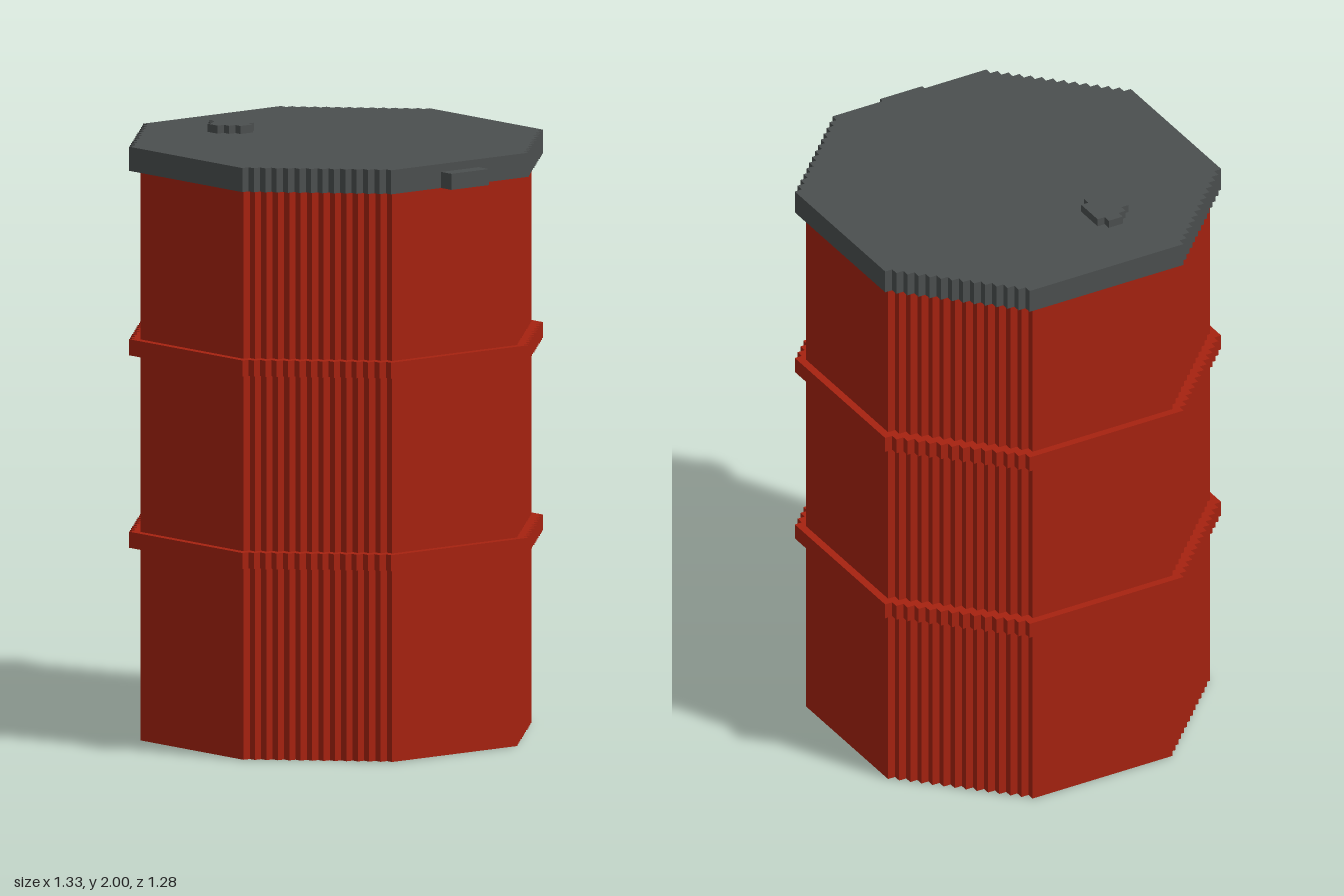
import * as THREE from 'three';

const U = 2 / 75;      // block size: the barrel is 75 blocks tall
const CX = -1;         // barrel axis in x, in blocks (the clamp sticks out on +x)
const STEPS = 13;      // stair steps on each diagonal side

const red = new THREE.MeshStandardMaterial({ color: 0xa62210 });
red.name = 'barrel red';
const grey = new THREE.MeshStandardMaterial({ color: 0x4b4f4f });
grey.name = 'lid grey';

// Stepped octagon outline, counter-clockwise; r is its half width in blocks
function octagon(r) {
  const corner = [];
  for (let i = 0; i < STEPS; i++) {
    corner.push([r - i, r - STEPS + i], [r - i - 1, r - STEPS + i]);
  }
  corner.push([r - STEPS, r]);
  // remaining three corners by quarter turns
  const points = [];
  for (let q = 0; q < 4; q++) {
    for (const [x, y] of corner) {
      const [a, b] = [[x, y], [-y, x], [-x, -y], [y, -x]][q];
      points.push(new THREE.Vector2(a + CX, b));
    }
  }
  return points;
}

// Outline extruded upward from block level y0 to y1
function slab(name, outline, y0, y1, material, hole) {
  const shape = new THREE.Shape(outline);
  if (hole) shape.holes.push(new THREE.Path(hole));
  const geometry = new THREE.ExtrudeGeometry(shape, { depth: y1 - y0, bevelEnabled: false });
  geometry.rotateX(-Math.PI / 2).translate(0, y0, 0).scale(U, U, U);
  const mesh = new THREE.Mesh(geometry, material);
  mesh.name = name;
  return mesh;
}

export function createModel() {
  const barrel = new THREE.Group();
  barrel.name = 'barrel';

  // Body with two raised hoops
  barrel.add(slab('body', octagon(23), 0, 71, red));
  for (const [name, y] of [['lowerHoop', 24], ['upperHoop', 48]]) {
    barrel.add(slab(name, octagon(24), y, y + 2, red, octagon(23)));
  }

  // Lid
  barrel.add(slab('lid', octagon(24), 71, 74, grey));

  // Bung on the lid, a small stepped plug
  const bung = [
    [-15, -9], [-13, -9], [-13, -8], [-12, -8], [-12, -7], [-11, -7], [-11, -5],
    [-12, -5], [-12, -4], [-16, -4], [-16, -5], [-17, -5], [-17, -7], [-16, -7],
    [-16, -8], [-15, -8],
  ].map(([x, y]) => new THREE.Vector2(x, y));
  barrel.add(slab('bung', bung, 74, 75, grey));

  // Clamp on the rim
  const clamp = new THREE.Mesh(new THREE.BoxGeometry(2 * U, 2 * U, 6 * U), grey);
  clamp.name = 'clamp';
  clamp.position.set(24 * U, 72 * U, 0);
  barrel.add(clamp);

  return barrel;
}
